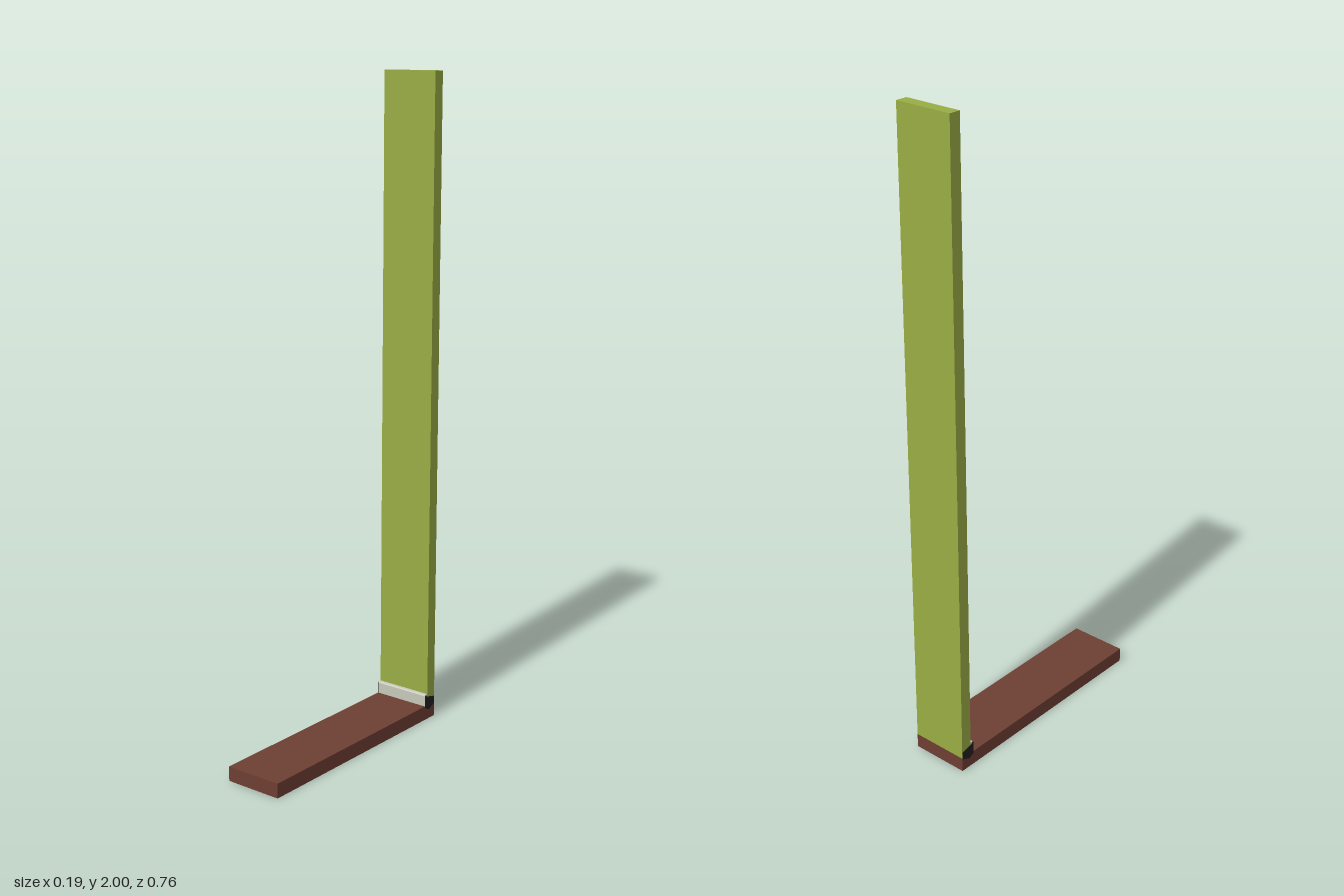
import * as THREE from 'three';

const material = (name, color) => {
  const m = new THREE.MeshStandardMaterial({ color });
  m.name = name;
  return m;
};

export function createModel() {
  const group = new THREE.Group();
  const green = material('wall green', 0x9aad45);
  const brown = material('floor brown', 0x6e3f33);
  const white = material('trim off-white', 0xc9cabb);
  const black = material('trim end black', 0x24201f);
  const width = 0.184;

  const add = (name, geometry, mat) => {
    const mesh = new THREE.Mesh(geometry, mat);
    mesh.name = name;
    group.add(mesh);
    return mesh;
  };
  // Box given by its y and z limits
  const slab = (name, y0, y1, z0, z1, mat) => {
    const mesh = add(name, new THREE.BoxGeometry(width, y1 - y0, z1 - z0), mat);
    mesh.position.set(0, (y0 + y1) / 2, (z0 + z1) / 2);
  };
  // Profile of [z, y] points, extruded across x
  const profile = (name, points, length, x, mat) => {
    const shape = new THREE.Shape(points.map(([z, y]) => new THREE.Vector2(-z, y)));
    const geometry = new THREE.ExtrudeGeometry(shape, { depth: length, bevelEnabled: false });
    geometry.translate(0, 0, -length / 2).rotateY(Math.PI / 2);
    add(name, geometry, mat).position.x = x;
  };

  // Floor board and the sill carrying the wall
  slab('floor', 0, 0.045, -0.331, 0.38, brown);
  slab('wallSill', 0, 0.045, -0.38, -0.331, brown);
  slab('wall', 0.045, 2, -0.38, -0.343, green);

  // Trim strip with a slightly bevelled top
  profile('trim', [[-0.344, 0.045], [-0.331, 0.045], [-0.331, 0.079], [-0.334, 0.083], [-0.344, 0.083]], width, 0, white);

  // Dark end faces of the trim and its tongue under the wall
  const end = [[-0.331, 0.04], [-0.331, 0.079], [-0.334, 0.083], [-0.342, 0.075], [-0.379, 0.066], [-0.379, 0.042], [-0.35, 0.03]];
  for (const side of [-1, 1]) {
    profile(side < 0 ? 'rightTrimEnd' : 'leftTrimEnd', end, 0.001, side * (width / 2 + 0.0005), black);
  }
  return group;
}
